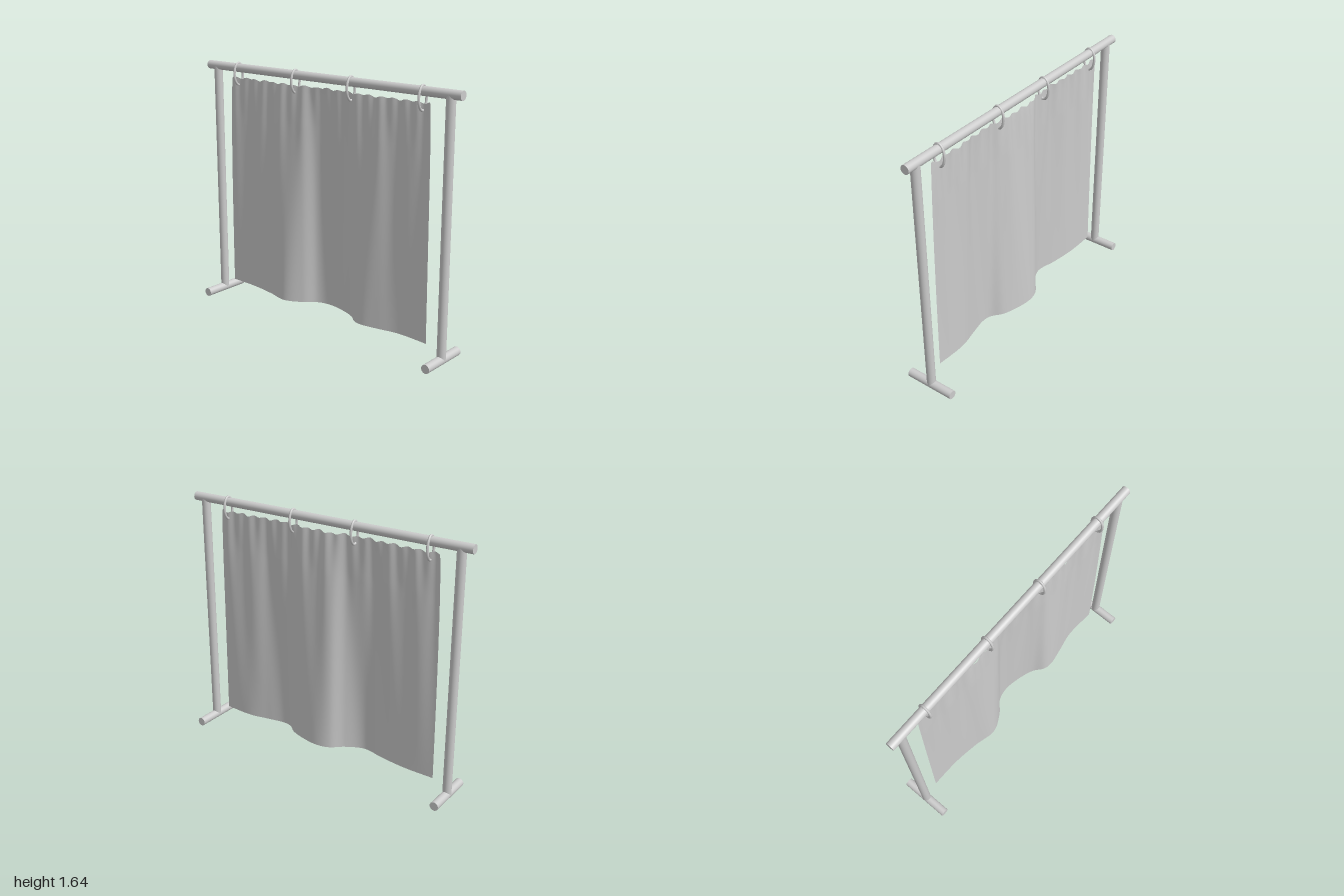
import * as THREE from 'three';

const mat = new THREE.MeshStandardMaterial({ color: 0xcccccc });
const clothMat = new THREE.MeshStandardMaterial({ color: 0xcccccc, side: THREE.DoubleSide });
const R = 0.028;

function bar(name, length, axis, x, y, z) {
  const g = new THREE.CylinderGeometry(R, R, length, 32);
  if (axis === 'x') g.rotateZ(Math.PI / 2);
  if (axis === 'z') g.rotateX(Math.PI / 2);
  const m = new THREE.Mesh(g, mat);
  m.name = name;
  m.position.set(x, y, z);
  return m;
}

// Hanging cloth: broad folds that deepen towards the hem, fine gathers at the top
function curtain() {
  const hem = new THREE.SplineCurve([
    [-0.82, 0.0], [-0.62, 0.005], [-0.44, 0.03], [-0.29, 0.061], [-0.17, 0.01], [-0.09, -0.055],
    [0, -0.075], [0.11, -0.058], [0.22, -0.02], [0.29, 0.032], [0.36, 0.045], [0.47, 0.028],
    [0.62, 0.003], [0.82, 0.015],
  ].map(([x, z]) => new THREE.Vector2(x, z)));
  const profile = hem.getPoints(400);
  const hemZ = (x) => {
    const i = profile.findIndex((p) => p.x >= x);
    if (i <= 0) return profile[i < 0 ? profile.length - 1 : 0].y;
    const a = profile[i - 1], b = profile[i];
    return a.y + (b.y - a.y) * (x - a.x) / (b.x - a.x);
  };
  const g = new THREE.PlaneGeometry(2, 1, 160, 60);
  const p = g.attributes.position;
  for (let i = 0; i < p.count; i++) {
    const u = p.getX(i), t = 0.5 - p.getY(i); // t: 0 at the top, 1 at the hem
    const half = 0.79 + 0.03 * Math.sqrt(t);
    const gather = Math.pow(1 - t, 6);
    const scallop = 0.005 * Math.sin(u * 58) + 0.003 * Math.sin(u * 31 + 1);
    const folds = 0.009 * Math.sin(u * 25 + 1.5 * t) * (1 - t) * Math.min(1, 0.3 + 4 * t);
    const z = hemZ(u * 0.82) * (0.22 + 0.78 * Math.pow(t, 0.8)) + folds
      + 0.005 * gather * Math.sin(u * 58 + 0.8);
    p.setXYZ(i, u * half, 1.535 - 1.43 * t + scallop * Math.pow(1 - t, 20), z);
  }
  g.computeVertexNormals();
  const m = new THREE.Mesh(g, clothMat);
  m.name = 'curtain';
  return m;
}

export function createModel() {
  const model = new THREE.Group();
  model.name = 'curtainStand';

  // Frame
  model.add(bar('topRail', 2, 'x', 0, 1.6, 0));
  for (const [side, s] of [['left', 1], ['right', -1]]) {
    model.add(bar(side + 'Post', 1.57, 'y', s * 0.922, 0.815, 0));
    model.add(bar(side + 'Foot', 0.33, 'z', s * 0.922, R, 0));
  }

  // Oval hanging rings
  const ringGeo = new THREE.TorusGeometry(1, 0.17, 10, 32);
  ringGeo.rotateY(Math.PI / 2);
  const ringPos = ringGeo.attributes.position;
  for (let i = 0; i < ringPos.count; i++) {
    const y = ringPos.getY(i), z = ringPos.getZ(i);
    const r = Math.hypot(y, z), k = (r - 1) * 0.047;
    ringPos.setXYZ(i, ringPos.getX(i) * 0.047, (y / r) * (0.071 + k), (z / r) * (0.038 + k));
  }
  ringGeo.computeVertexNormals();
  [-0.73, -0.225, 0.22, 0.735].forEach((x, i) => {
    const ring = new THREE.Mesh(ringGeo, mat);
    ring.name = 'ring' + (i + 1);
    ring.position.set(x, 1.56, 0);
    model.add(ring);
  });

  model.add(curtain());
  return model;
}
